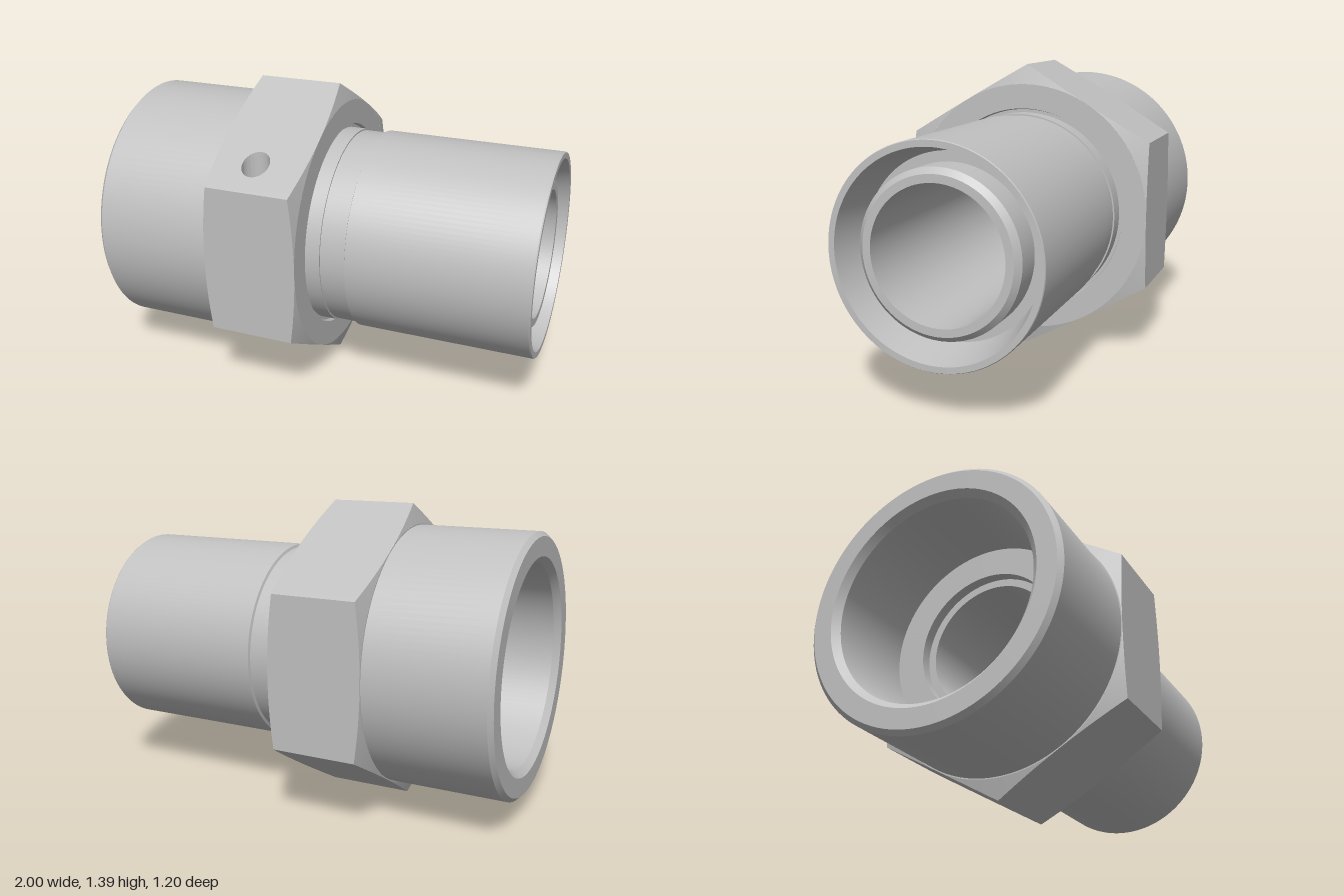
import * as THREE from 'three';
import { toCreasedNormals } from 'three/addons/utils/BufferGeometryUtils.js';

const AXIS_Y = 0.693;          // height of the fitting's axis
const FLAT = 0.6;              // hex centre to flat
const HEX_L = -0.44, HEX_R = 0; // hex ends along x
const SLOPE = 0.268;           // 15 degree end chamfer
const STEPS = 24;              // samples across one flat

const steel = new THREE.MeshStandardMaterial({ color: 0xc0c0c0 });
steel.name = 'steel';

// How far the chamfer cuts into the hex at a given radius
const cut = (r) => Math.max(0, r - FLAT) * SLOPE;

// Turned surface from [x, radius] points; outside runs toward +x, inside toward -x
function turned(points) {
  const g = new THREE.LatheGeometry(points.map(([x, r]) => new THREE.Vector2(r, x)), 128);
  g.rotateZ(-Math.PI / 2);
  return toCreasedNormals(g, 0.12);
}

// One hex flat with curved ends, optionally pierced by the drilled hole
function flatFace(pierced) {
  const right = [], left = [];
  for (let i = 0; i <= STEPS; i++) {
    const phi = (i / STEPS - 0.5) * Math.PI / 3;
    const t = FLAT * Math.tan(phi), c = cut(FLAT / Math.cos(phi));
    right.push(new THREE.Vector2(HEX_R - c, t));
    left.unshift(new THREE.Vector2(HEX_L + c, t));
  }
  const shape = new THREE.Shape([...right, ...left]);
  if (pierced) {
    const hole = new THREE.Path();
    hole.absellipse(-0.235, -0.185, 0.063, 0.0727, 0, Math.PI * 2, true);
    shape.holes.push(hole);
  }
  return new THREE.ShapeGeometry(shape, 24).translate(0, 0, FLAT);
}

// Conical chamfer between the round end face and the hex outline
function chamfer(endX, dir) {
  const pos = [], index = [], n = STEPS * 6;
  for (let i = 0; i <= n; i++) {
    const a = (i / n) * Math.PI * 2;
    const phi = ((i + STEPS / 2) % STEPS) / STEPS * Math.PI / 3 - Math.PI / 6;
    const r = FLAT / Math.cos(phi);
    pos.push(endX, FLAT * Math.sin(a), FLAT * Math.cos(a));
    pos.push(endX - dir * cut(r), r * Math.sin(a), r * Math.cos(a));
    if (i === n) break;
    const p = i * 2;
    if (dir > 0) index.push(p, p + 3, p + 1, p, p + 2, p + 3);
    else index.push(p, p + 1, p + 3, p, p + 3, p + 2);
  }
  const g = new THREE.BufferGeometry();
  g.setAttribute('position', new THREE.Float32BufferAttribute(pos, 3));
  g.setIndex(index);
  g.computeVertexNormals();
  return g;
}

// Vertical drilled hole whose rim follows the sloping flat
function drilledHole() {
  const g = new THREE.LatheGeometry([
    new THREE.Vector2(0.063, 1), new THREE.Vector2(0.063, 0.3), new THREE.Vector2(0, 0.265),
  ], 48);
  g.translate(-0.235, 0, 0.46);
  const p = g.attributes.position;
  for (let i = 0; i < p.count; i++) {
    if (p.getY(i) > 0.9) p.setY(i, (2 * FLAT - p.getZ(i)) / Math.sqrt(3));
  }
  return toCreasedNormals(g, 0.3);
}

export function createModel() {
  const model = new THREE.Group();
  model.name = 'pipeFitting';
  const body = new THREE.Group();
  body.name = 'body';
  body.position.y = AXIS_Y;
  model.add(body);
  const add = (name, geometry, parent = body) => {
    const mesh = new THREE.Mesh(geometry, steel);
    mesh.name = name;
    parent.add(mesh);
    return mesh;
  };

  // Wide collar with bevelled end, up to the hex shoulder
  add('collar', turned([
    [-1, 0.488], [-1, 0.575], [-0.98, 0.595], [HEX_L, 0.595], [HEX_L, FLAT],
  ]));

  // Hex nut section
  const hex = new THREE.Group();
  hex.name = 'hexNut';
  body.add(hex);
  for (let k = 0; k < 6; k++) {
    add('hexFlat', flatFace(k === 1), hex).rotation.x = -k * Math.PI / 3;
  }
  add('leftHexChamfer', chamfer(HEX_L, -1), hex);
  add('rightHexChamfer', chamfer(HEX_R, 1), hex);
  add('drilledHole', drilledHole(), hex);

  // Hex end face, undercut, neck and narrow spigot
  add('spigot', turned([
    [HEX_R, FLAT], [HEX_R, 0.485], [-0.02, 0.48], [-0.02, 0.465], [0.06, 0.465],
    [0.06, 0.458], [0.175, 0.458], [0.18, 0.47], [0.995, 0.47], [1, 0.467], [1, 0.44],
  ]));

  // Tapered seat running down to the groove floor
  add('taperedSeat', turned([[1, 0.44], [0.81, 0.4], [0.81, 0.355]]));

  // Inner tube with bevelled lip
  add('innerTube', turned([[0.81, 0.355], [0.94, 0.355], [0.965, 0.33], [0.965, 0.295]]));

  // Through bore, stepping out to the wide socket
  add('bore', turned([
    [0.965, 0.295], [-0.5, 0.295], [-0.5, 0.33], [-0.55, 0.33],
    [-0.55, 0.46], [-0.97, 0.46], [-1, 0.488],
  ]));

  return model;
}
